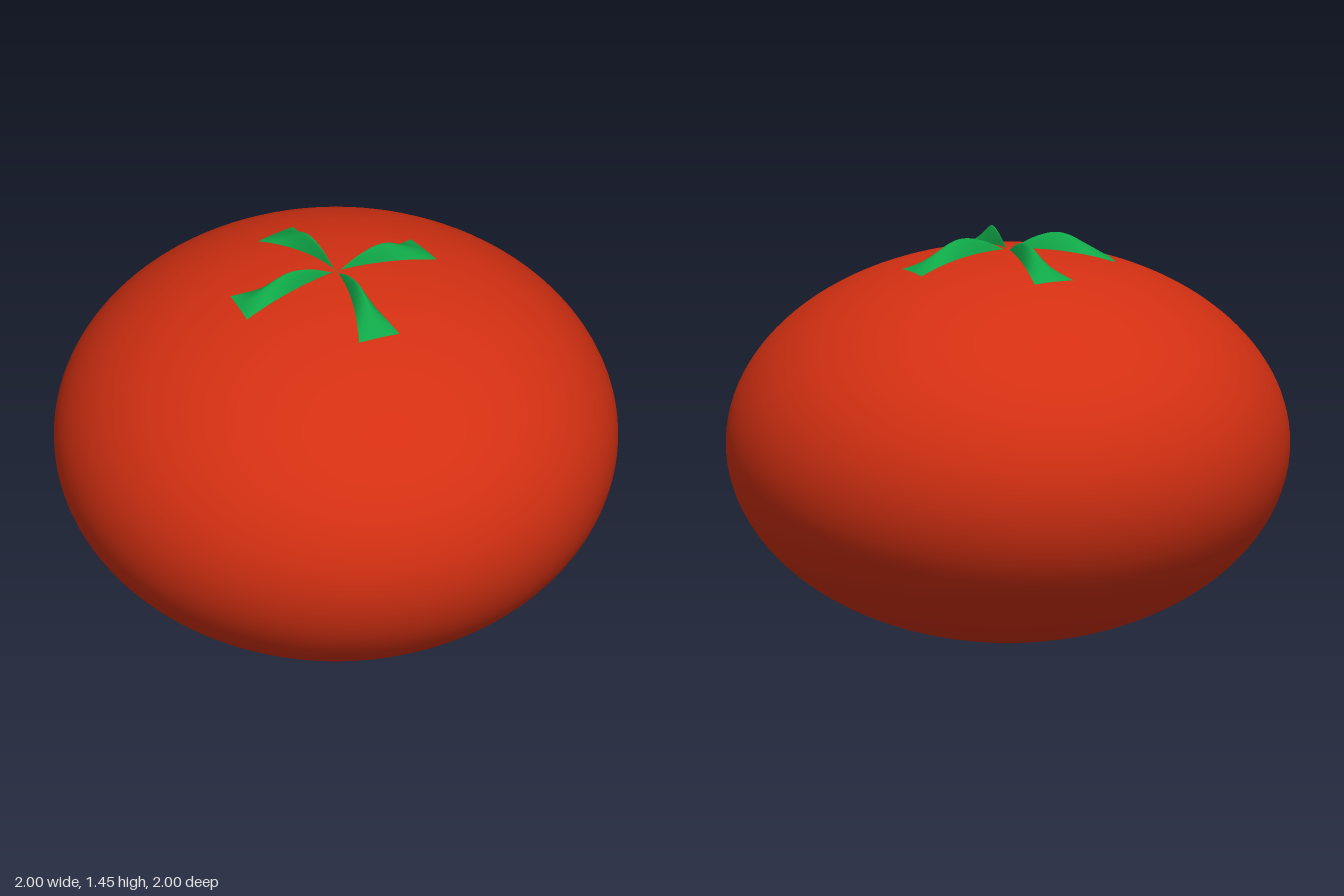
import * as THREE from 'three';

const RY = 0.697;
const surfaceY = (x, z) => RY + RY * Math.sqrt(Math.max(0, 1 - x * x - z * z));

// Height of a leaf's ridge along its length
const ridge = new THREE.SplineCurve([
  [0, 1.385], [0.05, 1.412], [0.1, 1.433], [0.17, 1.447], [0.23, 1.436], [0.3, 1.398], [0.39, 1.345],
].map(([r, y]) => new THREE.Vector2(r, y)));

// One arched leaf, narrow at the centre and flaring outwards; (dx, dz) is its direction
function leafGeometry(dx, dz) {
  const geo = new THREE.PlaneGeometry(1, 1, 28, 12);
  const pos = geo.attributes.position;
  const flip = dx > 0 || dz < 0; // keeps the faces pointing up
  for (let i = 0; i < pos.count; i++) {
    const t = pos.getX(i) + 0.5;
    const v = flip ? 0.5 - pos.getY(i) : pos.getY(i) + 0.5;
    const p = ridge.getPoint(t);
    const k = p.x / 0.39;
    const side = THREE.MathUtils.lerp(-0.112 * k ** 1.6, 0.042 * k ** 1.2, v);
    const along = p.x * (0.94 + 0.05 * v);
    const x = dx ? dx * along : side;
    const z = dz ? dz * along : side;
    const base = surfaceY(x, z) + 0.002;
    const arch = 1 - Math.abs(2 * v - 1) ** 1.4;
    pos.setXYZ(i, x, base + Math.max(0, p.y - base) * arch, z);
  }
  geo.computeVertexNormals();
  return geo;
}

export function createModel() {
  const model = new THREE.Group();
  const red = new THREE.MeshStandardMaterial({ color: 0xd43012 });
  const green = new THREE.MeshStandardMaterial({ color: 0x10a848, side: THREE.DoubleSide });

  // Flattened round fruit
  const body = new THREE.Mesh(new THREE.SphereGeometry(1, 96, 64).scale(1, RY, 1), red);
  body.name = 'fruitBody';
  body.position.y = RY;
  model.add(body);

  // Four leaves in a cross on top
  const leaves = new THREE.Group();
  leaves.name = 'leaves';
  const directions = { leftLeaf: [1, 0], rightLeaf: [-1, 0], frontLeaf: [0, 1], backLeaf: [0, -1] };
  for (const [name, [dx, dz]] of Object.entries(directions)) {
    const leaf = new THREE.Mesh(leafGeometry(dx, dz), green);
    leaf.name = name;
    leaves.add(leaf);
  }
  model.add(leaves);
  return model;
}
